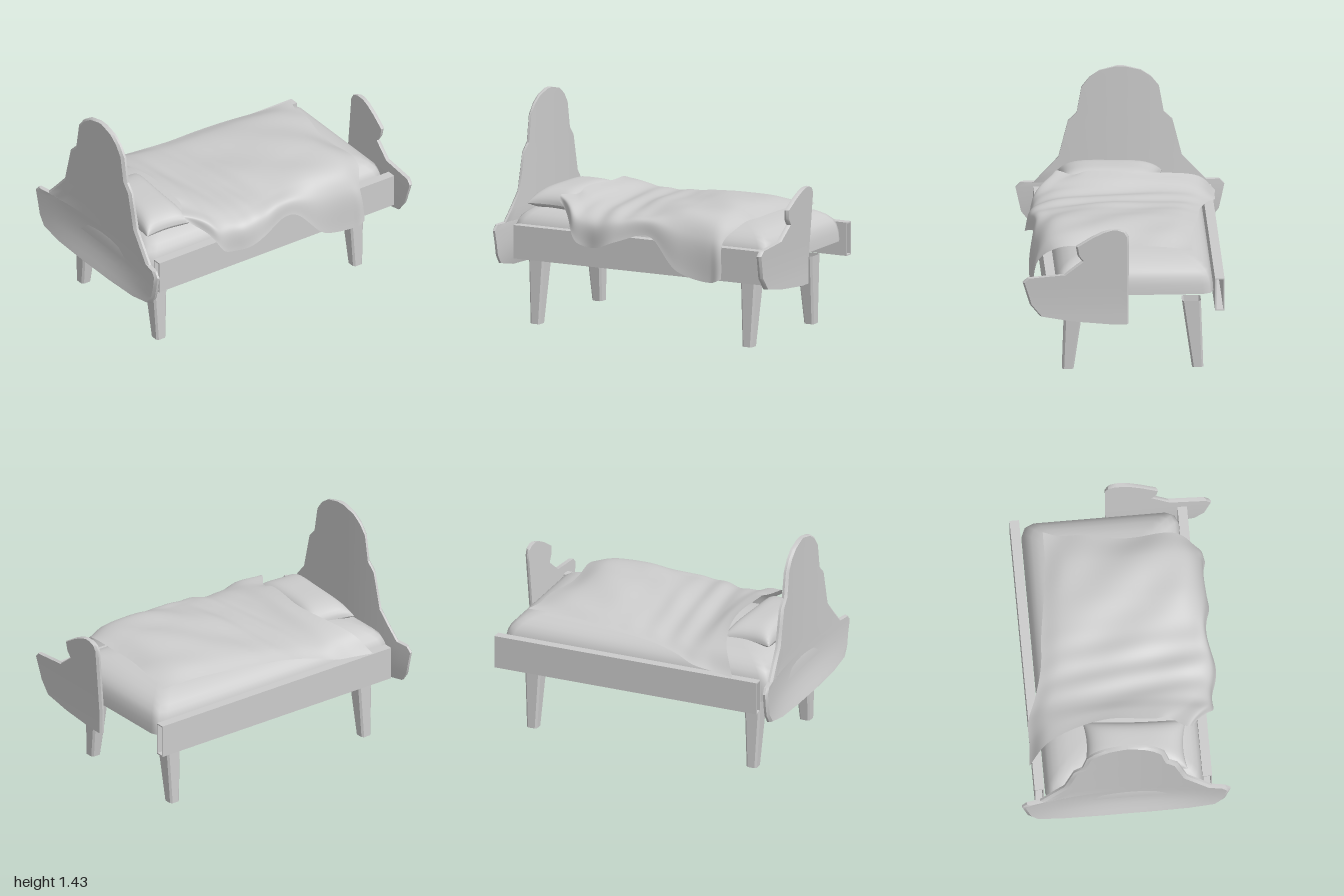
import * as THREE from 'three';
import { mergeVertices, toCreasedNormals } from 'three/addons/utils/BufferGeometryUtils.js';

const material = new THREE.MeshStandardMaterial({ color: 0xcccccc, side: THREE.DoubleSide });
const mix = THREE.MathUtils.lerp;
const V = (x, y, z) => new THREE.Vector3(x, y, z);

// Surface over a grid of points f(i, j), welded where points coincide
function grid(ni, nj, f) {
  const pos = [], index = [];
  for (let j = 0; j <= nj; j++) for (let i = 0; i <= ni; i++) pos.push(...f(i, j).toArray());
  for (let j = 0; j < nj; j++) for (let i = 0; i < ni; i++) {
    const a = j * (ni + 1) + i, b = a + ni + 1;
    index.push(a, a + 1, b + 1, a, b + 1, b);
  }
  let g = new THREE.BufferGeometry();
  g.setAttribute('position', new THREE.Float32BufferAttribute(pos, 3));
  g.setIndex(index);
  g = mergeVertices(g, 1e-5);
  g.computeVertexNormals();
  return g;
}

// Skin stretched over closed cross-section loops
const loft = loops => grid(loops[0].length, loops.length - 1, (i, j) => loops[j][i % loops[j].length]);

function add(parent, name, geometry, crease) {
  const mesh = new THREE.Mesh(crease ? toCreasedNormals(geometry, crease) : geometry, material);
  mesh.name = name;
  parent.add(mesh);
  return mesh;
}

// Curved board: rows are [y, xMin, xMax]; outer(x, y) gives z of the outer face
function board(rows, outer, thickness, bevel) {
  const n = 16;
  const dir = Math.sign(thickness);
  const all = [[rows[0][0], rows[0][1], rows[0][2]], ...rows, rows[rows.length - 1]];
  const loops = all.map(([y, a, b], k) => {
    const loop = [], flat = k === 0 || k === all.length - 1;
    const c = Math.min(bevel, (b - a) / 4);
    for (let i = 0; i <= n; i++) {
      const x = mix(a + c, b - c, i / n);
      loop.push(V(x, y, outer(x, y) - (flat ? thickness / 2 : 0)));
    }
    loop.push(V(b, y, outer(b, y) - dir * 0.015));
    for (let i = n; i >= 0; i--) {
      const x = mix(a, b, i / n);
      loop.push(V(x, y, outer(x, y) - (flat ? thickness / 2 : thickness)));
    }
    loop.push(V(a, y, outer(a, y) - dir * 0.015));
    return loop;
  });
  return loft(loops);
}

export function createModel() {
  const bed = new THREE.Group();
  bed.name = 'bed';

  // Tall stepped headboard, bowed towards the mattress in the middle
  const headProfile = [
    [0.355, 0.15], [0.367, 0.42], [0.4, 0.58], [0.46, 0.625], [0.54, 0.643], [0.62, 0.66],
    [0.655, 0.63], [0.658, 0.545], [0.74, 0.47], [0.83, 0.39], [0.95, 0.36], [1.07, 0.33],
    [1.125, 0.275], [1.295, 0.245], [1.36, 0.195], [1.405, 0.13], [1.43, 0.03]];
  const headFace = (x, y) => 0.932 + 0.05 * (x / 0.62) ** 2
    + 0.012 * Math.max(0, (y - 0.6) / 0.8) + 0.05 * Math.max(0, (0.5 - y) / 0.15) * (1 - (x / 0.7) ** 2);
  add(bed, 'headboard',
    board(headProfile.map(([y, w]) => [y, -0.025 - w, -0.025 + w]), headFace, 0.03, 0.022), 0.6);

  // Half-width footboard with a rounded lobe and a wing
  const footProfile = [
    [0.36, 0.01, 0.12], [0.385, 0.01, 0.38], [0.42, 0.01, 0.57], [0.5, 0.01, 0.635],
    [0.65, 0.01, 0.68], [0.68, 0.01, 0.65], [0.7, 0.01, 0.42], [0.79, 0.01, 0.305],
    [0.83, 0.01, 0.335], [0.89, 0.01, 0.345], [0.95, 0.01, 0.25], [0.985, 0.03, 0.18], [1, 0.07, 0.13]];
  add(bed, 'footboard',
    board(footProfile, (x, y) => -0.963 - 0.037 * Math.max(0, (y - 0.5) / 0.5), -0.028, 0.012), 0.6);

  // Hollow side rails, open at the ends
  const section = new THREE.Shape([[-0.03, 0.433], [0.03, 0.433], [0.03, 0.648], [-0.03, 0.648]]
    .map(p => new THREE.Vector2(...p)));
  section.holes.push(new THREE.Path([[-0.022, 0.441], [-0.022, 0.64], [0.022, 0.64], [0.022, 0.441]]
    .map(p => new THREE.Vector2(...p))));
  for (const [name, x] of [['leftRail', 0.497], ['rightRail', -0.567]]) {
    const rail = add(bed, name, new THREE.ExtrudeGeometry(section, { depth: 1.815, bevelEnabled: false }));
    rail.position.set(x, 0, -0.935);
  }

  // Tapered legs with chamfered corners, leaning slightly outwards
  const legLoop = (x, y, z, w, d) => {
    const c = 0.012;
    return [[w - c, d], [w, d - c], [w, c - d], [w - c, -d], [c - w, -d], [-w, c - d], [-w, d - c], [c - w, d]]
      .map(([dx, dz]) => V(x + dx, y, z + dz));
  };
  for (const side of [-1, 1]) for (const z of [0.785, -0.735]) {
    const leg = loft([
      legLoop(-0.025 + side * 0.41, 0, z, 0.036, 0.035),
      legLoop(-0.025 + side * 0.37, 0.45, z, 0.06, 0.056)]);
    add(bed, (z > 0 ? 'front' : 'back') + (side > 0 ? 'Left' : 'Right') + 'Leg', leg, 0.4);
  }

  // Mattress: a puffed shell, open underneath
  const mattressLevels = [
    [0.54, 0], [0.6, 0.004], [0.645, 0.014], [0.68, 0.03], [0.71, 0.06], [0.735, 0.1],
    [0.755, 0.16], [0.77, 0.26], [0.775, 0.38], [0.777, 0.49]];
  add(bed, 'mattress', loft(mattressLevels.map(([y, s]) => {
    const w = 0.5 - s, d = 0.93 - s, c = Math.min(0.07, w / 2), m = c * 0.3;
    const corner = [[w, d - c], [w - m, d - m], [w - c, d]];
    const flip = (sx, sz, list) => list.map(([x, z]) => V(-0.03 + sx * x, y, 0.01 + sz * z));
    const rev = [...corner].reverse();
    return [...flip(1, 1, corner), ...flip(-1, 1, rev), ...flip(-1, -1, corner), ...flip(1, -1, rev)];
  })));

  // Pillow: two bulging halves with pinched edges
  const pillow = new THREE.Group();
  pillow.name = 'pillow';
  for (const s of [1, -1]) {
    add(pillow, s > 0 ? 'pillowTop' : 'pillowUnderside', grid(24, 18, (i, j) => {
      const u = Math.sin((i / 12 - 1) * Math.PI / 2), v = Math.sin((j / 9 - 1) * Math.PI / 2);
      const puff = Math.sqrt(Math.max(0, (1 - u ** 4) * (1 - v ** 4)));
      return V(0.33 * u * (1 - 0.08 * (1 - v * v)), s * (s > 0 ? 0.1 : 0.05) * puff,
        0.165 * v * (1 - 0.1 * (1 - u * u)));
    }));
  }
  pillow.position.set(0.055, 0.765, 0.68);
  pillow.rotation.y = -0.06;
  bed.add(pillow);

  // Blanket rows: [zLeftEdge, zMiddle, zHem, xLeftEdge, yLeftEdge, yTop, xHem, yHem]
  const rows = [
    [-0.79, -0.72, -0.65, -0.4, 0.785, 0.8, 0.595, 0.46],
    [-0.55, -0.56, -0.57, -0.405, 0.79, 0.85, 0.61, 0.43],
    [-0.3, -0.32, -0.34, -0.44, 0.785, 0.855, 0.6, 0.48],
    [-0.1, -0.1, -0.12, -0.47, 0.77, 0.83, 0.585, 0.68],
    [0.1, 0.1, 0.1, -0.49, 0.755, 0.81, 0.6, 0.63],
    [0.3, 0.27, 0.27, -0.545, 0.73, 0.8, 0.595, 0.57],
    [0.44, 0.38, 0.4, -0.6, 0.7, 0.81, 0.575, 0.59],
    [0.58, 0.46, 0.49, -0.605, 0.68, 0.845, 0.52, 0.72],
    [0.72, 0.53, 0.6, -0.615, 0.665, 0.865, 0.43, 0.81]];
  const across = rows.map(([zL, zM, zR, xL, yL, yT, xR, yH]) => new THREE.CatmullRomCurve3([
    V(xL, yL, zL), V(xL + 0.12, mix(yL, yT, 0.65), (zL + zM) / 2), V(-0.08, yT - 0.005, zM),
    V(0.2, yT, zM), V(xR - 0.13, yT - 0.025, (zM + zR) / 2),
    V(xR - 0.03, mix(yT, yH, 0.35), zR), V(xR, yH, zR)]));
  const nu = 64, nv = 80;
  const along = Array.from({ length: nu + 1 }, (_, i) =>
    new THREE.CatmullRomCurve3(across.map(c => c.getPoint(i / nu))));
  add(bed, 'blanket', grid(nu, nv, (i, j) => {
    const u = i / nu, v = j / nv, p = along[i].getPoint(v);
    // Soft folds: diagonal at the foot, crosswise near the pillow, wavy ends
    const inside = Math.sin(Math.PI * u);
    p.y += inside * (0.009 * Math.sin(11 * p.x + 13 * p.z) * (1 - v)
      + 0.009 * Math.sin(34 * p.z + 4 * p.x) * Math.exp(-(((p.z - 0.2) / 0.22) ** 2)));
    p.x += 0.014 * Math.sin(24 * v + 1) * Math.max(0, u - 0.7) / 0.3;
    p.z += 0.02 * Math.sin(u * 17) * (2 * v - 1) ** 4 * inside;
    return p;
  }));

  return bed;
}
